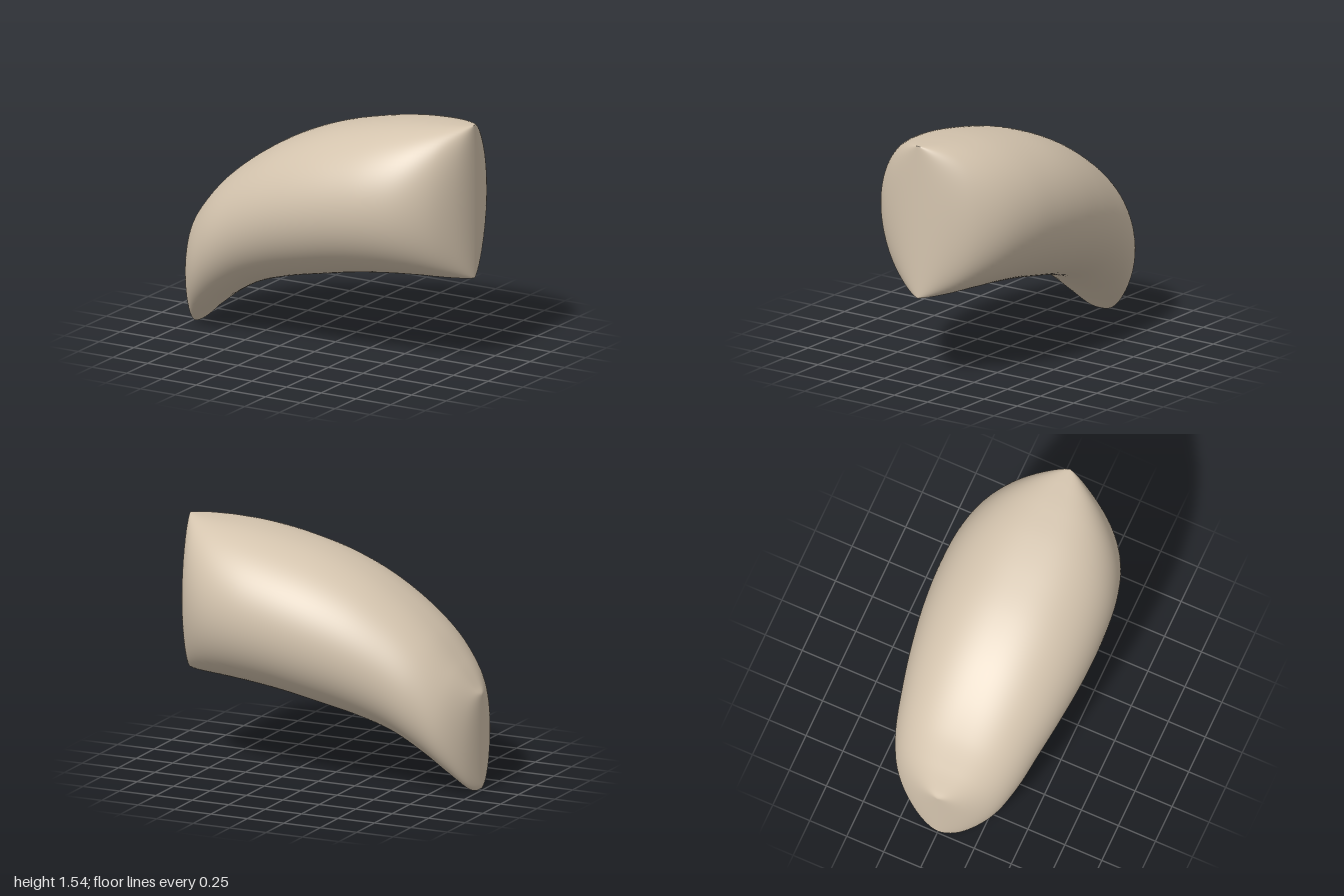
import * as THREE from 'three';

export function createModel() {
  const group = new THREE.Group();
  const clay = new THREE.MeshStandardMaterial({ color: 0xd4c4ae });
  clay.name = 'warm beige';

  // Lower edge, upper edge and half thickness at stations x = -cos(angle),
  // evenly spaced in angle so both ends round off smoothly
  const stations = [
    [0.035, 0.6, 0], [0, 0.66, 0.185], [0.09, 0.805, 0.33], [0.212, 0.99, 0.415],
    [0.328, 1.157, 0.468], [0.405, 1.3, 0.515], [0.46, 1.405, 0.548], [0.51, 1.472, 0.557],
    [0.542, 1.514, 0.538], [0.557, 1.533, 0.475], [0.56, 1.54, 0.357], [0.56, 1.542, 0.187],
    [0.56, 1.542, 0],
  ];
  const profile = new THREE.CatmullRomCurve3(
    stations.map((s) => new THREE.Vector3(...s)), false, 'catmullrom', 0.5);

  // Loft of oval cross-sections that close to a vertical edge at both ends
  const rows = (stations.length - 1) * 8, sides = 96;
  const positions = [], indices = [];
  for (let i = 0; i <= rows; i++) {
    const theta = (i / rows) * Math.PI;
    const { x: low, y: high, z: thick } = profile.getPoint(i / rows);
    const mid = (high + low) / 2, half = (high - low) / 2;
    // Sections grow fuller towards the ends, which softens the corners
    const power = 0.6 + 0.32 * Math.sin(theta);
    for (let j = 0; j < sides; j++) {
      const angle = (j / sides) * Math.PI * 2;
      const c = Math.cos(angle);
      const bulge = Math.sign(c) * Math.pow(Math.abs(c), power);
      positions.push(-Math.cos(theta), mid + half * Math.sin(angle), thick * bulge);
      if (i < rows) {
        const p = i * sides + j, q = i * sides + (j + 1) % sides;
        indices.push(p, p + sides, q, q, p + sides, q + sides);
      }
    }
  }
  const geometry = new THREE.BufferGeometry();
  geometry.setAttribute('position', new THREE.Float32BufferAttribute(positions, 3));
  geometry.setIndex(indices);
  geometry.computeVertexNormals();

  const body = new THREE.Mesh(geometry, clay);
  body.name = 'curvedBody';
  group.add(body);
  return group;
}
